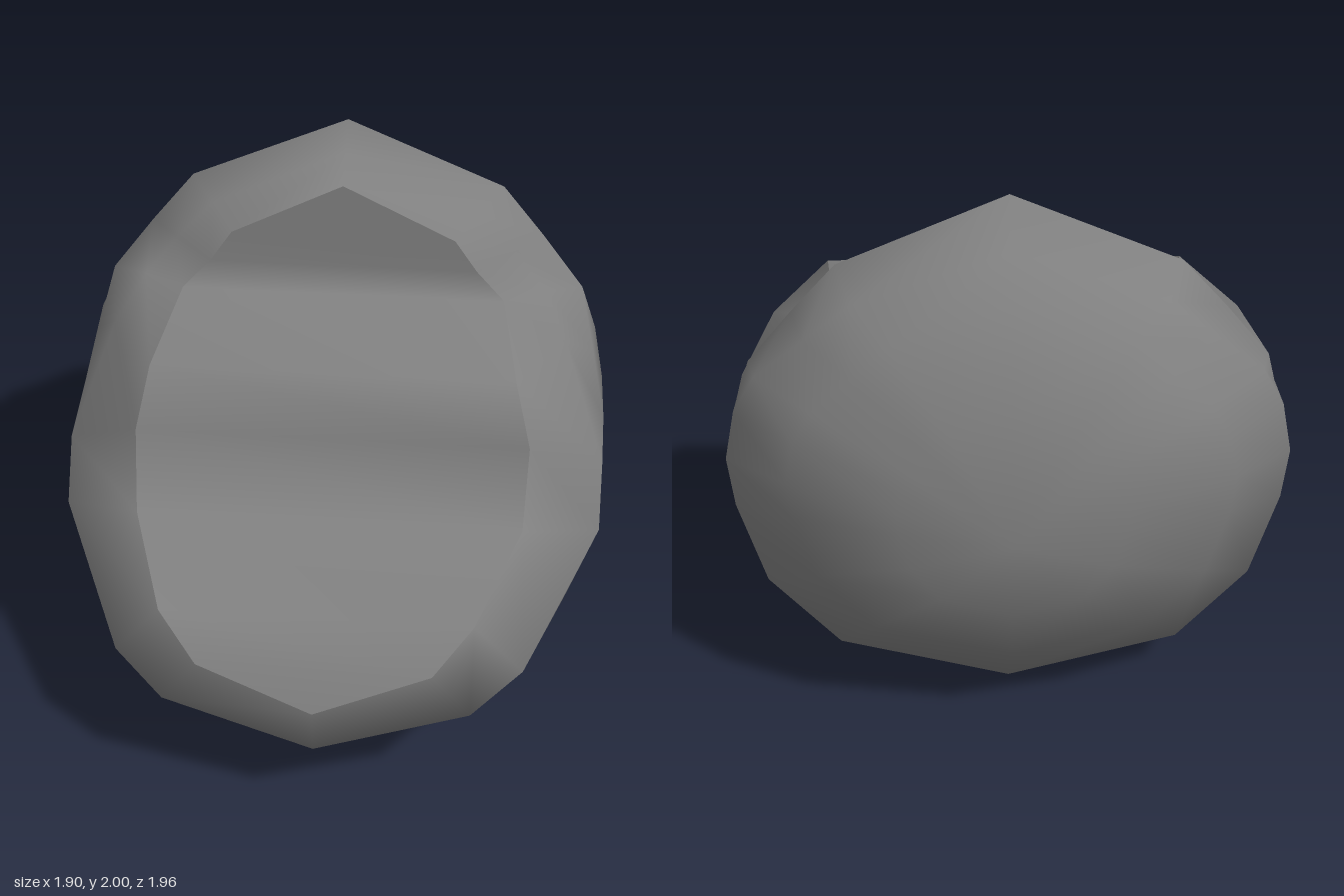
import * as THREE from 'three';

// Each half outline runs from the top, down the +x side, to the bottom.
const opening = [
  [0, 1.86, -0.28], [0.39, 1.66, -0.28], [0.47, 1.54, -0.28], [0.57, 1.43, -0.27], [0.62, 1.4, 0.18],
  [0.68, 1.14, 0.2], [0.67, 0.88, 0.33], [0.52, 0.87, 0.82], [0.39, 0.73, 0.92], [0, 0.59, 0.98],
];
const rim = [
  [0, 1.93, -0.39], [0.47, 1.71, -0.39], [0.6, 1.57, -0.38], [0.72, 1.41, -0.38], [0.79, 1.37, -0.12],
  [0.94, 1.0, 0.07], [0.94, 0.81, 0.21], [0.69, 0.62, 0.75], [0.52, 0.52, 0.87], [0, 0.4, 0.95],
];
const crown = [
  [0, 2, -0.5], [0.55, 1.76, -0.5], [0.7, 1.58, -0.48], [0.85, 1.385, -0.46], [0.9, 1.2, -0.33],
  [0.95, 1, -0.2], [0.94, 0.81, 0], [0.84, 0.48, 0.2], [0.6, 0.18, 0.3], [0, 0.005, 0.32],
];
const middle = [
  [0, 1.88, -0.65], [0.5, 1.68, -0.62], [0.66, 1.53, -0.58], [0.83, 1.36, -0.52], [0.91, 1.2, -0.48],
  [0.95, 1, -0.46], [0.93, 0.81, -0.46], [0.84, 0.48, -0.45], [0.6, 0.18, -0.43], [0, 0.01, -0.43],
];

// Smaller copy of the middle outline, for the rounded back
function shrink(scaleX, low, high, z) {
  return middle.map(([x, y]) => [x * scaleX, low + (y - 0.01) / 1.87 * (high - low), z]);
}

// Close a half outline with its mirror image
function mirrorLoop(half) {
  return half.concat(half.slice(1, -1).reverse().map(([x, y, z]) => [-x, y, z]));
}

function smoothGeometry(points, index) {
  const geometry = new THREE.BufferGeometry();
  geometry.setAttribute('position', new THREE.Float32BufferAttribute(points.flat(), 3));
  geometry.setIndex(index);
  geometry.computeVertexNormals();
  return geometry;
}

// Skin the rings from the opening to the pole at the back
function shellGeometry() {
  const halves = [opening, rim, crown, middle, shrink(0.76, 0.41, 1.77, -0.79), shrink(0.39, 0.68, 1.46, -0.92)];
  const rings = halves.map(mirrorLoop);
  const n = rings[0].length;
  const points = rings.flat();
  const pole = points.length;
  points.push([0, 1, -0.98]);
  const index = [];
  for (let j = 0; j < rings.length; j++) {
    for (let i = 0; i < n; i++) {
      const a = j * n + i, b = j * n + (i + 1) % n;
      if (j === rings.length - 1) index.push(a, b, pole);
      else index.push(a, b, b + n, a, b + n, a + n);
    }
  }
  return smoothGeometry(points, index);
}

// Stepped panel spanning the opening from side to side
function panelGeometry() {
  const points = opening.flatMap(([x, y, z]) => [[-x, y, z], [x, y, z]]);
  const last = opening.length - 2;
  const index = [];
  for (let k = 0; k <= last; k++) {
    const l = 2 * k, r = l + 1;
    if (k < last) index.push(l, l + 2, r + 2);
    if (k > 0) index.push(l, r + 2, r);
  }
  // the top and bottom points are each shared by one vertex
  return smoothGeometry(points, index);
}

export function createModel() {
  const grey = new THREE.MeshStandardMaterial({ color: 0x808080 });
  grey.name = 'grey';
  const group = new THREE.Group();
  group.name = 'helmet';
  const shell = new THREE.Mesh(shellGeometry(), grey);
  shell.name = 'shell';
  const panel = new THREE.Mesh(panelGeometry(), grey);
  panel.name = 'steppedFacePanel';
  group.add(shell, panel);
  return group;
}
